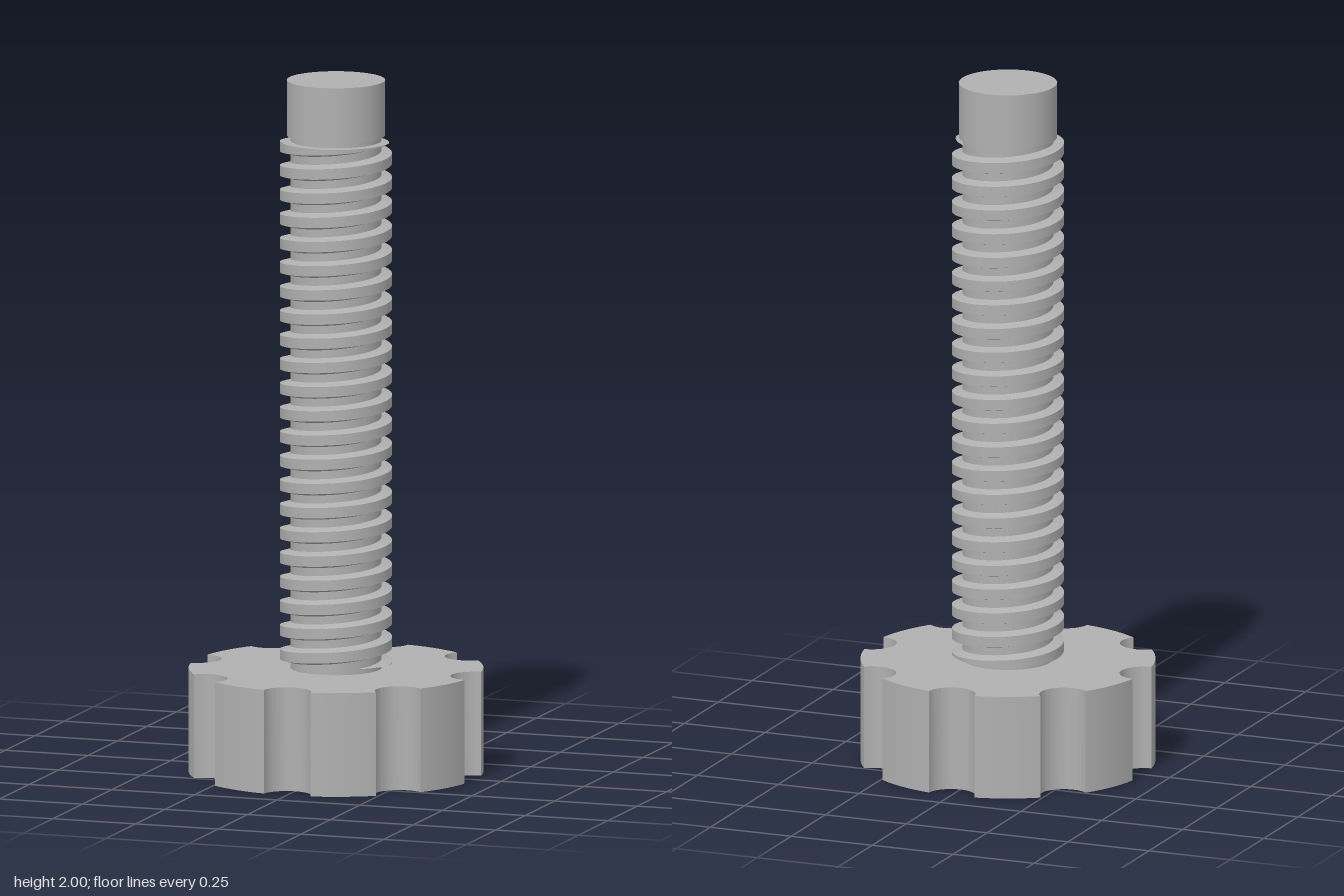
import * as THREE from 'three';
import { toCreasedNormals } from 'three/addons/utils/BufferGeometryUtils.js';

const KNOB_R = 0.42, KNOB_H = 0.3, NOTCH_R = 0.07, NOTCHES = 8;
const CORE_R = 0.13, THREAD_R = 0.16, TIP_R = 0.14, TIP_Y = 1.84;

// Round grip with scalloped notches
function knobGeometry() {
  const shape = new THREE.Shape();
  const a = 2 * Math.asin(NOTCH_R / (2 * KNOB_R));
  const half = Math.PI / 2 + a / 2;
  const step = (Math.PI * 2) / NOTCHES;
  for (let i = 0; i < NOTCHES; i++) {
    const p = i * step;
    shape.absarc(KNOB_R * Math.cos(p), KNOB_R * Math.sin(p), NOTCH_R, p - half, p + half - Math.PI * 2, true);
    shape.absarc(0, 0, KNOB_R, p + a, p + step - a, false);
  }
  const geo = new THREE.ExtrudeGeometry(shape, { depth: KNOB_H, bevelEnabled: false, curveSegments: 16 });
  geo.rotateX(-Math.PI / 2);
  return toCreasedNormals(geo, 0.6);
}

// Right-handed trapezoid thread, trimmed flat at both ends
function threadGeometry() {
  const y0 = 0.315, y1 = 1.825, pitch = 0.07, turns = 22, crest = 0.03;
  const flank = pitch / 8, perTurn = 48, run = perTurn / 8;
  const rootR = CORE_R - 0.001;
  const pos = [], index = [];
  const first = -run, last = turns * perTurn + run;
  const section = (i) => {
    const t = (i / perTurn) * Math.PI * 2;
    const y = y0 - crest / 2 + (pitch * i) / perTurn;
    const grow = Math.min(1, (i - first) / run, (last - i) / run);
    const r = rootR + (THREAD_R - rootR) * grow;
    return [
      [rootR, y - crest / 2 - flank], [r, y - crest / 2],
      [r, y + crest / 2], [rootR, y + crest / 2 + flank],
    ].map(([rad, h]) => [rad * Math.cos(t), THREE.MathUtils.clamp(h, y0, y1), -rad * Math.sin(t)]);
  };
  // lower flank, crest and upper flank as separate strips keep their edges sharp
  for (let strip = 0; strip < 3; strip++) {
    for (let i = first; i <= last; i++) {
      const s = section(i);
      const n = pos.length / 3;
      pos.push(...s[strip], ...s[strip + 1]);
      if (i < last) index.push(n, n + 2, n + 1, n + 1, n + 2, n + 3);
    }
  }
  const geo = new THREE.BufferGeometry();
  geo.setAttribute('position', new THREE.Float32BufferAttribute(pos, 3));
  geo.setIndex(index);
  geo.computeVertexNormals();
  return geo;
}

export function createModel() {
  const group = new THREE.Group();
  group.name = 'thumbScrew';
  const grey = new THREE.MeshStandardMaterial({ color: 0xb0b0b0 });
  grey.name = 'grey';

  const add = (name, geo, y = 0) => {
    const mesh = new THREE.Mesh(geo, grey);
    mesh.name = name;
    mesh.position.y = y;
    group.add(mesh);
  };
  const rod = (r, h) => new THREE.CylinderGeometry(r, r, h, 64);

  add('knob', knobGeometry());
  add('core', rod(CORE_R, TIP_Y - KNOB_H), (TIP_Y + KNOB_H) / 2);
  add('thread', threadGeometry());
  add('tip', rod(TIP_R, 2 - TIP_Y), (2 + TIP_Y) / 2);
  return group;
}
